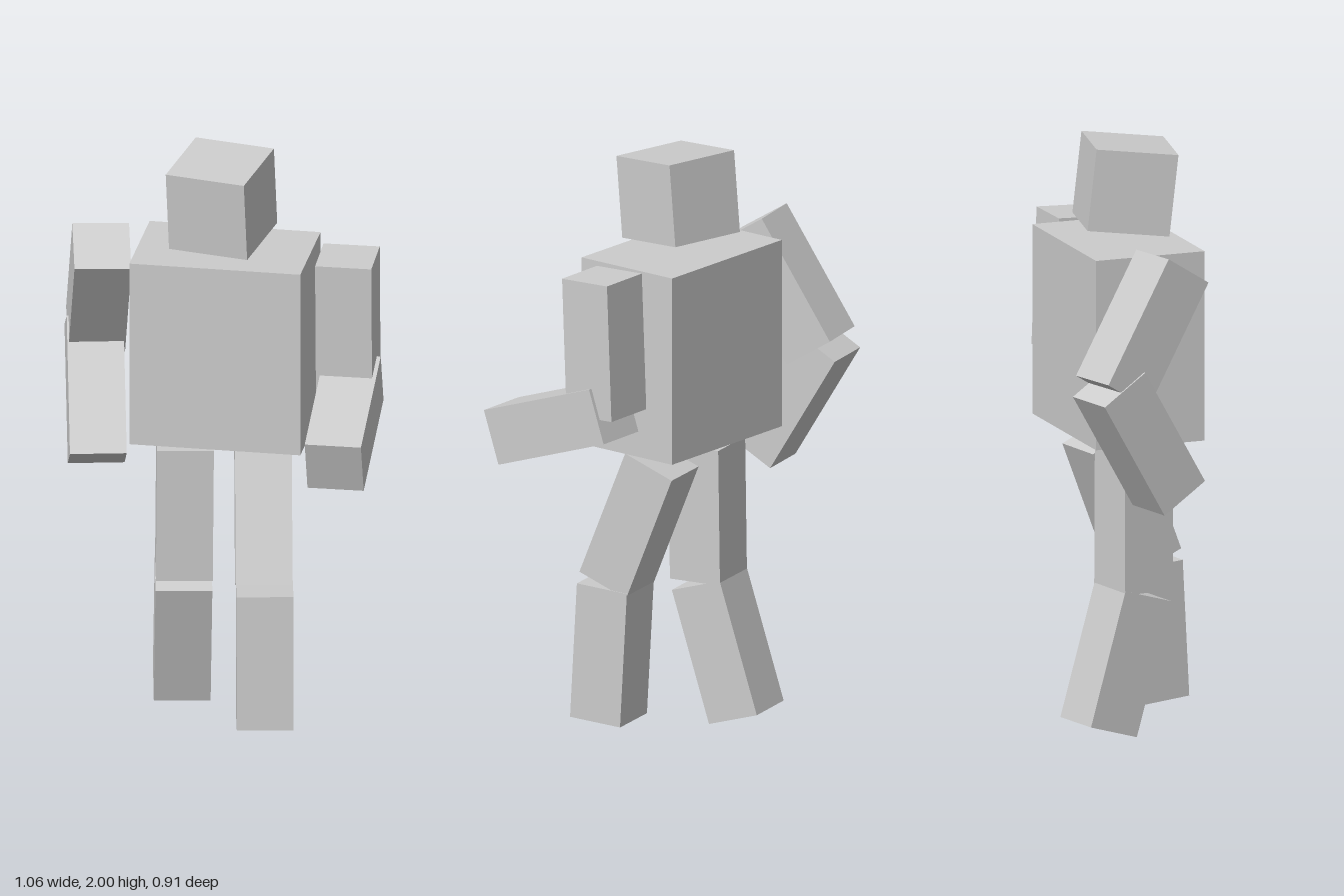
import * as THREE from 'three';

const LIMB = 0.19; // limb thickness
const LENGTH = 0.47; // limb segment length

export function createModel() {
  const model = new THREE.Group();
  const material = new THREE.MeshStandardMaterial({ color: 0xcccccc, flatShading: true });

  const addBlock = (name, geometry, position, pitch, yaw, roll = 0) => {
    const mesh = new THREE.Mesh(geometry, material);
    mesh.name = name;
    mesh.position.set(...position);
    mesh.rotation.set(pitch, yaw, roll, 'YXZ');
    model.add(mesh);
  };

  // Body
  addBlock('torso', new THREE.BoxGeometry(0.58, 0.65, 0.39), [0, 1.335, -0.06], 0, -0.19);
  addBlock('head', new THREE.BoxGeometry(0.28, 0.28, 0.28), [-0.012, 1.845, -0.04], 0.11, -0.385);

  // Limb segments hang from the centre of their top end
  const limb = new THREE.BoxGeometry(LIMB, LENGTH, LIMB).translate(0, -LENGTH / 2, 0);
  const limbs = [
    // name, top centre, pitch, yaw, roll
    ['leftUpperArm', [0.408, 1.66, 0.023], 0.04, -0.165, 0],
    ['leftForearm', [0.431, 1.205, -0.034], -1.24, -0.165, 0],
    ['rightUpperArm', [-0.411, 1.65, -0.108], 0.56, 0.03, -0.02],
    ['rightForearm', [-0.433, 1.28, -0.373], -0.54, 0.03, 0],
    ['leftThigh', [0.127, 0.955, -0.053], -0.378, 0, 0],
    ['leftShin', [0.13, 0.507, 0.122], -0.055, 0, 0],
    ['rightThigh', [-0.133, 0.96, -0.083], 0.01, 0, -0.008],
    ['rightShin', [-0.138, 0.478, -0.09], 0.3, 0, -0.008],
  ];
  for (const [name, top, pitch, yaw, roll] of limbs) addBlock(name, limb, top, pitch, yaw, roll);

  return model;
}
